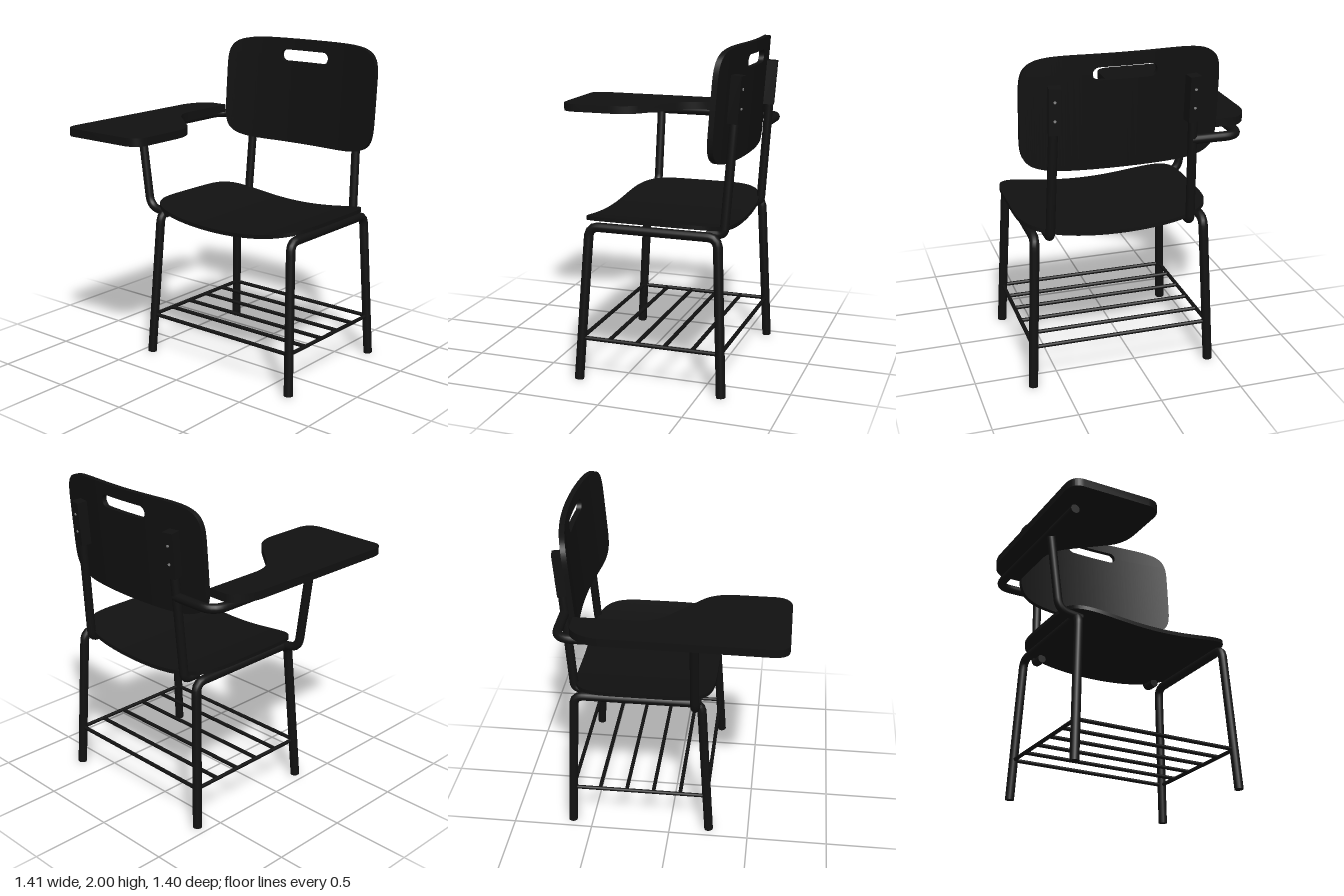
import * as THREE from 'three';
import { mergeGeometries, toCreasedNormals } from 'three/addons/utils/BufferGeometryUtils.js';

const V = (x, y, z) => new THREE.Vector3(x, y, z);
const CX = 0.12; // centre line of the seat and back
const black = new THREE.MeshStandardMaterial({ color: 0x111111 });
const steel = new THREE.MeshStandardMaterial({ color: 0x888888 });

function add(parent, name, geometry, material = black) {
  const mesh = new THREE.Mesh(geometry, material);
  mesh.name = name;
  parent.add(mesh);
  return mesh;
}

// Capped round tube through points, with rounded corners
function tube(points, radius, bend = 0.06, segments = 72) {
  const path = new THREE.CurvePath();
  let from = points[0];
  for (let i = 1; i < points.length - 1; i++) {
    const p = points[i];
    const toward = (q) => p.clone().addScaledVector(q.clone().sub(p).normalize(), Math.min(bend, p.distanceTo(q) * 0.49));
    const a = toward(points[i - 1]), b = toward(points[i + 1]);
    path.add(new THREE.LineCurve3(from, a));
    path.add(new THREE.QuadraticBezierCurve3(a, p, b));
    from = b;
  }
  path.add(new THREE.LineCurve3(from, points[points.length - 1]));
  const parts = [new THREE.TubeGeometry(path, points.length > 2 ? segments : 1, radius, 16)];
  for (const [t, sign] of [[0, -1], [1, 1]]) {
    const dir = path.getTangentAt(t).multiplyScalar(sign);
    const cap = new THREE.CircleGeometry(radius, 16);
    cap.applyQuaternion(new THREE.Quaternion().setFromUnitVectors(V(0, 0, 1), dir));
    const p = path.getPointAt(t);
    parts.push(cap.translate(p.x, p.y, p.z));
  }
  return mergeGeometries(parts);
}

// Curved panel with a superellipse outline and an optional slot.
// place(u, v, w): u across -1..1, v along the other side, w = -1 or 1 for the two faces.
function panel(halfW, halfV, power, place, slot) {
  let us = [];
  for (let i = 0; i <= 48; i++) {
    const c = -Math.cos((i / 48) * Math.PI);
    us.push(c, Math.sign(c) * Math.abs(c) ** (2 / power));
    if (slot) {
      const s = Math.sin((i / 48 - 0.5) * Math.PI);
      if (i % 4 === 0) for (const k of [-1, 1]) us.push((k * (slot.half - slot.r) + slot.r * s) / halfW);
    }
  }
  us = us.sort((a, b) => a - b).filter((u, i) => i === 0 || u - us[i - 1] > 1e-7);
  const gap = (u) => {
    if (!slot) return 0;
    const d = Math.max(0, Math.abs(u * halfW) - (slot.half - slot.r));
    return d < slot.r - 1e-6 ? Math.sqrt(slot.r ** 2 - d * d) : 0;
  };
  const pos = [];
  const quad = (a, b, c, d) => [a, b, c, a, c, d].forEach((p) => pos.push(p.x, p.y, p.z));
  for (const upper of [false, true]) {
    const rows = us.map((u) => {
      const edge = halfV * Math.max(0, 1 - Math.abs(u) ** power) ** (1 / power);
      const mid = THREE.MathUtils.clamp(slot ? slot.v : 0, -edge, edge);
      const lo = upper ? mid + gap(u) : -edge;
      const hi = upper ? edge : mid - gap(u);
      return [place(u, lo, -1), place(u, hi, -1), place(u, hi, 1), place(u, lo, 1)];
    });
    for (let i = 0; i < us.length - 1; i++) {
      const open = gap(us[i]) + gap(us[i + 1]) > 0;
      for (let k = 0; k < 4; k++) {
        if (k === (upper ? 3 : 1) && !open) continue; // inner wall only along the slot
        const n = (k + 1) % 4;
        quad(rows[i][k], rows[i][n], rows[i + 1][n], rows[i + 1][k]);
      }
    }
  }
  const g = new THREE.BufferGeometry();
  g.setAttribute('position', new THREE.Float32BufferAttribute(pos, 3));
  return toCreasedNormals(g, 0.6);
}

export function createModel() {
  const model = new THREE.Group();
  model.name = 'tabletArmChair';

  // Dished seat
  add(model, 'seat', panel(0.58, 0.435, 5,
    (u, v, w) => V(CX + 0.58 * u, 0.925 + 0.077 * u * u + 0.012 * w, -0.175 - v)));

  // Curved, leaning backrest with a hand slot
  const backZ = (u, y) => -0.66 + 0.075 * (2 - y) + 0.067 * u * u;
  add(model, 'backrest', panel(0.58, 0.335, 6,
    (u, v, w) => V(CX + 0.58 * u, 1.665 + v, backZ(u, 1.665 + v) + 0.016 * w),
    { v: 0.2275, half: 0.185, r: 0.0375 }));

  for (const side of [-1, 1]) {
    const name = side > 0 ? 'left' : 'right';
    const x = (d) => CX + side * d;

    // Front leg, seat rail and back leg in one bent tube
    add(model, name + 'Legs', tube([
      V(x(0.555), 0, 0.25), V(x(0.513), 0.935, 0.19),
      V(x(0.513), 0.935, -0.588), V(x(0.555), 0, -0.63)], 0.028, 0.06, 100));

    // Backrest upright, bent forward under the seat
    add(model, name + 'Upright', tube([
      V(x(0.425), 0.932, -0.5), V(x(0.425), 0.932, -0.6),
      V(x(0.41), 1.5, -0.64), V(x(0.4), 1.75, -0.658)], 0.027, 0.04));

    // Bracket with two bolts
    const bracket = new THREE.Group();
    bracket.name = name + 'Bracket';
    bracket.position.set(x(0.4), 1.705, -0.653);
    bracket.rotation.set(-0.075, -side * 0.155, 0);
    add(bracket, 'bracketPlate', new THREE.BoxGeometry(0.07, 0.27, 0.066));
    for (const y of [-0.05, 0.06]) {
      const bolt = add(bracket, 'bolt', new THREE.CylinderGeometry(0.008, 0.008, 0.006, 12), steel);
      bolt.rotation.x = Math.PI / 2;
      bolt.position.set(0, y, -0.034);
    }
    model.add(bracket);

    // Side rail of the book rack
    add(model, name + 'RackRail', tube([V(x(0.543), 0.255, 0.234), V(x(0.543), 0.255, -0.618)], 0.012));
  }

  // Cross bars of the book rack
  for (let i = 0; i < 6; i++) {
    const z = THREE.MathUtils.lerp(0.234, -0.618, i / 5);
    add(model, 'rackBar', tube([V(CX - 0.543, 0.255, z), V(CX + 0.543, 0.255, z)], 0.012));
  }

  // Tablet arm: top tube and post
  add(model, 'armTube', tube([
    V(-0.585, 1.452, 0.5), V(-0.585, 1.452, -0.638), V(-0.285, 1.452, -0.638)], 0.028, 0.1));
  add(model, 'armPost', tube([
    V(-0.578, 1.45, 0.16), V(-0.51, 0.955, 0.16), V(-0.36, 0.932, 0.16)], 0.027, 0.07));

  // Writing tablet, drawn as (x, z)
  const s = new THREE.Shape();
  s.moveTo(-0.47, -0.55);
  s.lineTo(-0.59, -0.55);
  s.bezierCurveTo(-0.64, -0.53, -0.69, -0.46, -0.695, -0.37);
  s.lineTo(-0.706, 0.61);
  s.quadraticCurveTo(-0.7, 0.7, -0.63, 0.7);
  s.lineTo(-0.2, 0.7);
  s.quadraticCurveTo(-0.105, 0.69, -0.105, 0.59);
  s.lineTo(-0.105, 0.36);
  s.quadraticCurveTo(-0.105, 0.25, -0.17, 0.18);
  s.lineTo(-0.38, 0.0);
  s.quadraticCurveTo(-0.47, -0.08, -0.47, -0.19);
  s.closePath();
  const top = new THREE.ExtrudeGeometry(s, { depth: 0.05, bevelEnabled: false, curveSegments: 14 });
  top.rotateX(Math.PI / 2).translate(0, 1.53, 0);
  add(model, 'writingTablet', toCreasedNormals(top, 0.6));

  return model;
}
